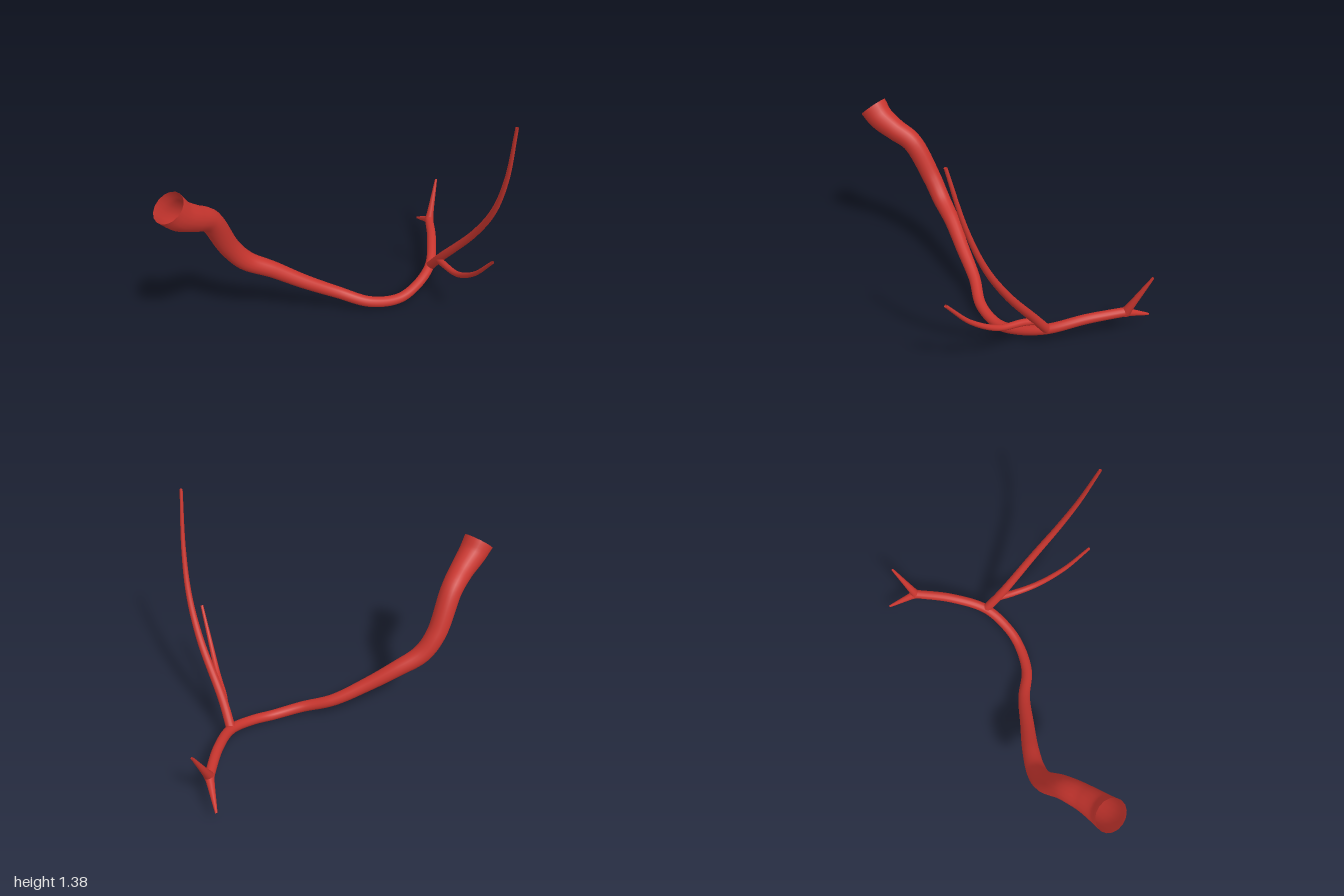
import * as THREE from 'three';

const SIDES = 16;

// Tapered open tube through points given as [x, y, z, radius]
function vessel(name, stations, segments, material) {
  const curve = new THREE.CatmullRomCurve3(
    stations.map(([x, y, z]) => new THREE.Vector3(x, y, z)), false, 'centripetal');
  const geometry = new THREE.TubeGeometry(curve, segments, 1, SIDES, false);
  const pos = geometry.attributes.position;
  const normal = geometry.attributes.normal;
  const last = stations.length - 1;
  for (let i = 0; i <= segments; i++) {
    const u = i / segments;
    const centre = curve.getPointAt(u);
    const t = curve.getUtoTmapping(u) * last;
    const k = Math.min(Math.floor(t), last - 1);
    const radius = THREE.MathUtils.lerp(stations[k][3], stations[k + 1][3], t - k);
    for (let j = 0; j <= SIDES; j++) {
      const v = i * (SIDES + 1) + j;
      pos.setXYZ(v,
        centre.x + normal.getX(v) * radius,
        centre.y + normal.getY(v) * radius,
        centre.z + normal.getZ(v) * radius);
    }
  }
  const mesh = new THREE.Mesh(geometry, material);
  mesh.name = name;
  return mesh;
}

export function createModel() {
  const group = new THREE.Group();
  group.name = 'branchingVessel';
  const red = new THREE.MeshStandardMaterial({ color: 0xc8352e, side: THREE.DoubleSide });
  red.name = 'vesselRed';

  // Wide open mouth narrowing into the long curved trunk
  group.add(vessel('trunk', [
    [-0.73, 1.045, 0.92, 0.093],
    [-0.715, 0.98, 0.87, 0.085],
    [-0.695, 0.91, 0.77, 0.073],
    [-0.685, 0.83, 0.65, 0.066],
    [-0.668, 0.585, 0.515, 0.061],
    [-0.615, 0.46, 0.44, 0.058],
    [-0.5, 0.365, 0.34, 0.05],
    [-0.35, 0.25, 0.235, 0.043],
    [-0.18, 0.14, 0.12, 0.037],
    [0, 0.066, 0.04, 0.034],
    [0.135, 0.037, -0.09, 0.032],
    [0.2, 0.06, -0.21, 0.031],
    [0.235, 0.115, -0.4, 0.031],
    [0.17, 0.175, -0.63, 0.03],
    [0.07, 0.192, -0.86, 0.028],
  ], 120, red));

  // Tall side branch
  group.add(vessel('tallBranch', [
    [0.235, 0.115, -0.405, 0.029],
    [0.33, 0.25, -0.34, 0.027],
    [0.56, 0.545, -0.22, 0.022],
    [0.69, 0.78, -0.13, 0.018],
    [0.765, 1.04, -0.05, 0.014],
    [0.81, 1.385, 0.033, 0.009],
  ], 60, red));

  // Short branch leaving the tall one
  group.add(vessel('shortBranch', [
    [0.31, 0.222, -0.35, 0.022],
    [0.37, 0.242, -0.28, 0.021],
    [0.49, 0.275, -0.165, 0.018],
    [0.625, 0.39, -0.04, 0.014],
    [0.755, 0.572, 0.067, 0.009],
  ], 40, red));

  // Tapering fork at the far end of the trunk
  const fork = [0.075, 0.19, -0.85, 0.031];
  group.add(vessel('upperForkTip', [fork, [0.07, 0.443, -0.985, 0.007]], 8, red));
  group.add(vessel('lowerForkTip', [fork, [-0.06, 0.1, -0.985, 0.007]], 8, red));

  return group;
}
